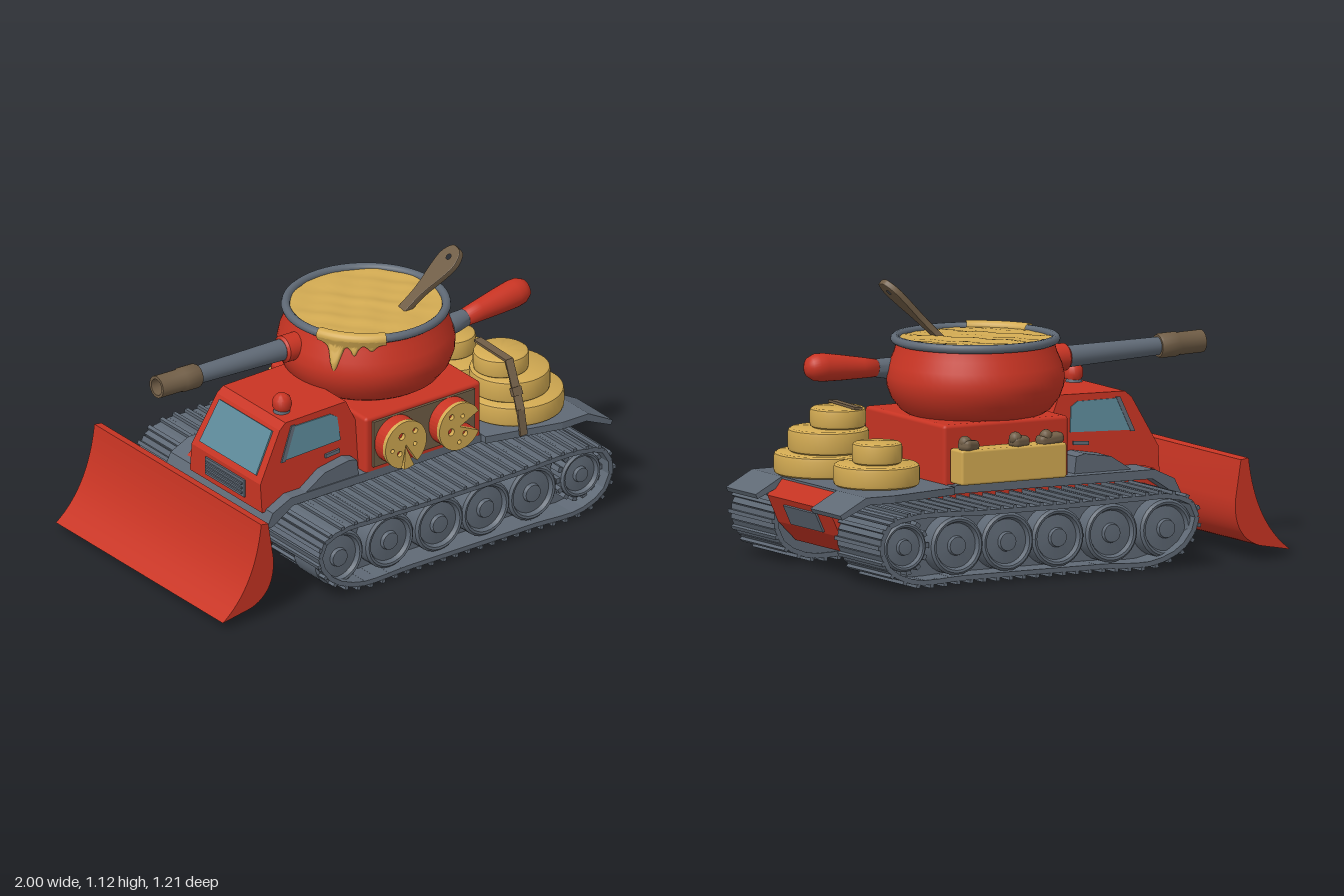
import * as THREE from 'three';
import { toCreasedNormals } from 'three/addons/utils/BufferGeometryUtils.js';
import { RoundedBoxGeometry } from 'three/addons/geometries/RoundedBoxGeometry.js';
import { ParametricGeometry } from 'three/addons/geometries/ParametricGeometry.js';

const mat = (name, color, side = THREE.FrontSide) => {
  const m = new THREE.MeshStandardMaterial({ color, side });
  m.name = name;
  return m;
};

export function createModel() {
  const red = mat('red paint', 0xc83423), gray = mat('gray steel', 0x5f6975);
  const yellow = mat('cheese yellow', 0xd2aa52, THREE.DoubleSide);
  const brown = mat('brown wood', 0x705d46), glass = mat('blue glass', 0x5d8a9a);
  const root = new THREE.Group();
  const V = (x, y, z) => new THREE.Vector3(x, y, z);

  const add = (name, geo, m, pos = [0, 0, 0], rot = [0, 0, 0], parent = root) => {
    const mesh = new THREE.Mesh(geo, m);
    mesh.name = name;
    mesh.position.set(...pos);
    mesh.rotation.set(...rot);
    parent.add(mesh);
    return mesh;
  };
  const box = (w, h, d) => new THREE.BoxGeometry(w, h, d);
  const shapeOf = (pts) => new THREE.Shape(pts.map((p) => new THREE.Vector2(...p)));
  const slab = (shape, z0, z1) =>
    new THREE.ExtrudeGeometry(shape, { depth: z1 - z0, bevelEnabled: false, curveSegments: 16 }).translate(0, 0, z0);
  const lathe = (pts, seg = 40) =>
    toCreasedNormals(new THREE.LatheGeometry(pts.map((p) => new THREE.Vector2(...p)), seg), 0.7);
  // Flat bar or round rod between two points
  const link = (name, a, b, geoFor, m) => {
    const dir = b.clone().sub(a), mesh = add(name, geoFor(dir.length()), m);
    mesh.position.copy(a).add(b).multiplyScalar(0.5);
    mesh.quaternion.setFromUnitVectors(V(0, 1, 0), dir.normalize());
    return mesh;
  };

  // Hull
  add('hull', slab(shapeOf([[-0.6, 0.2], [-0.5, 0.09], [0.8, 0.09], [0.88, 0.17], [0.93, 0.28], [0.88, 0.345],
    [-0.55, 0.345], [-0.6, 0.3]]), -0.25, 0.25), red);
  add('rearPlate', box(0.008, 0.085, 0.26), gray, [0.905, 0.215, 0], [0, 0, -0.43]);

  // Tracks: one loop carries the pads, the wheels sit inside it
  const loop = new THREE.CatmullRomCurve3([
    [-0.36, 0.025], [-0.1, 0.025], [0.2, 0.025], [0.5, 0.025], [0.74, 0.025], [0.85, 0.08], [0.885, 0.17],
    [0.85, 0.25], [0.74, 0.282], [0.4, 0.28], [0, 0.28], [-0.3, 0.285], [-0.43, 0.283], [-0.52, 0.25],
    [-0.545, 0.18], [-0.49, 0.085]].map(([x, y]) => V(x, y, 0)), true, 'centripetal');
  const outline = loop.getSpacedPoints(80).slice(0, 80).map((p) => [p.x, p.y]);
  const wheelGeo = lathe([[0.1, -0.1], [0.118, -0.09], [0.118, 0.05], [0.108, 0.06], [0.098, 0.058], [0.09, 0.04],
    [0.04, 0.045], [0.036, 0.06], [0, 0.062]], 28);
  for (const s of [1, -1]) {
    const track = new THREE.Group();
    track.name = s > 0 ? 'leftTrack' : 'rightTrack';
    root.add(track);
    add('trackCore', slab(shapeOf(outline), s > 0 ? 0.26 : -0.49, s > 0 ? 0.49 : -0.26), gray, [0, 0, 0], [0, 0, 0], track);
    const n = 52;
    for (let i = 0; i < n; i++) {
      const p = loop.getPointAt(i / n), t = loop.getTangentAt(i / n), pad = new THREE.Group();
      pad.name = 'trackPad';
      pad.position.set(p.x, p.y, s * 0.427);
      pad.rotation.z = Math.atan2(t.y, t.x);
      track.add(pad);
      add('padPlate', box(0.062, 0.02, 0.346), gray, [0, 0, 0], [0, 0, 0], pad);
      add('padCleat', box(0.016, 0.014, 0.355), gray, [0, -0.016, 0], [0, 0, 0], pad);
    }
    [-0.43, -0.18, 0.065, 0.295, 0.525].forEach((x) =>
      add('roadWheel', wheelGeo, gray, [x, 0.15, s * 0.51], [s * Math.PI / 2, 0, 0], track));
    // Toothed drive wheel
    add('driveWheel', wheelGeo, gray, [0.765, 0.16, s * 0.51], [s * Math.PI / 2, 0, 0], track).scale.set(0.83, 1, 0.83);
    for (let i = 0; i < 14; i++) {
      const a = i / 14 * Math.PI * 2;
      add('driveTooth', box(0.03, 0.022, 0.05), gray,
        [0.765 + Math.cos(a) * 0.1, 0.16 + Math.sin(a) * 0.1, s * 0.53], [0, 0, a], track);
    }
  }

  // Deck and fenders
  add('deck', slab(shapeOf([[-0.63, 0.25], [-0.6, 0.25], [-0.5, 0.315], [0.6, 0.32], [0.6, 0.352], [-0.51, 0.352],
    [-0.6, 0.31]]), -0.33, 0.35), gray);
  const rear = slab(shapeOf([[0.43, -0.38], [0.75, -0.46], [0.88, -0.46], [0.88, 0.46], [0.75, 0.46], [0.43, 0.38]]), 0, 0.03);
  add('rearDeck', rear.rotateX(Math.PI / 2), gray, [0, 0.354, 0]);
  for (const s of [1, -1]) {
    add('rearFender', slab(shapeOf([[0.87, 0.324], [0.99, 0.272], [1, 0.29], [0.88, 0.354], [0.87, 0.354]]), -0.12, 0.12),
      gray, [0, 0, s * 0.34]);
  }

  // Cab, narrowing upwards
  const taper = (geo) => {
    const p = geo.attributes.position;
    for (let i = 0; i < p.count; i++) p.setZ(i, 0.065 + p.getZ(i) * (1 - (p.getY(i) - 0.3) * 0.4));
    geo.computeVertexNormals();
    return geo;
  };
  add('cab', taper(slab(shapeOf([[-0.62, 0.3], [-0.14, 0.3], [-0.14, 0.56], [-0.18, 0.65], [-0.48, 0.645], [-0.51, 0.62],
    [-0.62, 0.42]]), -0.24, 0.24)), red);
  add('sideWindows', taper(slab(shapeOf([[-0.5, 0.49], [-0.22, 0.5], [-0.23, 0.6], [-0.26, 0.62], [-0.44, 0.62]]),
    -0.245, 0.245)), glass);
  add('windowPillars', taper(slab(shapeOf([[-0.515, 0.485], [-0.495, 0.485], [-0.435, 0.625], [-0.455, 0.625]]),
    -0.247, 0.247)), gray);
  add('windshield', taper(slab(shapeOf([[-0.613, 0.445], [-0.605, 0.44], [-0.515, 0.605], [-0.524, 0.61]]), -0.2, 0.2)), glass);
  add('doorHandles', taper(slab(shapeOf([[-0.3, 0.445], [-0.23, 0.45], [-0.23, 0.465], [-0.3, 0.46]]), -0.25, 0.25)), gray);
  add('grille', box(0.012, 0.075, 0.26), gray, [-0.622, 0.365, 0.065]);
  for (const y of [0.345, 0.365, 0.385]) add('grilleBar', box(0.008, 0.008, 0.24), gray, [-0.63, y, 0.065]);
  add('cabSteps', slab(shapeOf([[-0.45, 0.34], [-0.17, 0.34], [-0.18, 0.42], [-0.22, 0.43], [-0.34, 0.41]]), -0.28, 0.345), gray);
  add('beaconBase', new THREE.CylinderGeometry(0.03, 0.035, 0.02, 20), gray, [-0.43, 0.652, 0.18]);
  add('beacon', lathe([[0.032, 0], [0.04, 0.02], [0.035, 0.05], [0.02, 0.065], [0, 0.07]], 20), red, [-0.425, 0.655, 0.18], [0, 0, 0.12]);

  // Plough blade and its arms
  const blade = new THREE.Shape();
  blade.moveTo(-1, 0.025);
  blade.lineTo(-0.86, 0.05);
  blade.quadraticCurveTo(-0.74, 0.09, -0.75, 0.24);
  blade.lineTo(-0.775, 0.4);
  blade.lineTo(-0.81, 0.405);
  blade.quadraticCurveTo(-0.84, 0.14, -1, 0.025);
  add('blade', toCreasedNormals(slab(blade, -0.555, 0.555), 0.6), red);
  for (const z of [-0.11, 0.14]) {
    link('bladeArm', V(-0.56, 0.19, z), V(-0.68, 0.145, z), (l) => box(0.04, l, 0.03), gray);
    link('bladeArm', V(-0.66, 0.15, z), V(-0.78, 0.145, z), (l) => box(0.035, l, 0.025), gray);
  }

  // Turret base with cheese panel on one side and a crate on the other
  add('turretBase', new RoundedBoxGeometry(0.57, 0.26, 0.64, 2, 0.015), red, [0.145, 0.46, 0.03]);
  add('cheesePanel', box(0.5, 0.2, 0.02), brown, [0.14, 0.472, 0.352]);
  const sector = (r, from, sweep, holes) => {
    const s = new THREE.Shape();
    s.moveTo(0, 0);
    s.absarc(0, 0, r, from, from + sweep, false);
    s.lineTo(0, 0);
    holes.forEach(([d, a, q]) => {
      const h = new THREE.Path();
      h.absarc(Math.cos(a) * d, Math.sin(a) * d, q, 0, Math.PI * 2, true);
      s.holes.push(h);
    });
    return s;
  };
  const cheese = (x, from, sweep) => {
    const holes = [0.15, 0.33, 0.55, 0.78, 0.9].map((f, i) => [0.045 + 0.022 * (i % 2), from + sweep * f, 0.009 + 0.003 * (i % 3)]);
    add('cheeseRind', slab(sector(0.1, from, sweep, []), 0.36, 0.418), red, [x, 0.472, 0]);
    add('cheeseFace', slab(sector(0.102, from, sweep, holes), 0.418, 0.436), yellow, [x, 0.472, 0]);
  };
  cheese(-0.005, -1.0, 5.5);
  cheese(0.262, 0.45, 5.4);
  add('cheeseWedge', slab(sector(0.1, -1.65, 0.5, []), 0.37, 0.43), yellow, [-0.002, 0.46, 0]);
  add('crate', new RoundedBoxGeometry(0.48, 0.14, 0.1, 2, 0.01), yellow, [0.17, 0.43, -0.35]);
  [[-0.01, 0.11], [0.13, 0.08], [0.36, 0.09]].forEach(([x, w], i) => {
    add('crateBundle', new RoundedBoxGeometry(w, 0.045, 0.06, 2, 0.018), brown, [x, 0.515, -0.365], [0, i * 0.25, 0.12 * (i - 1)]);
    add('bundleKnob', new THREE.SphereGeometry(0.026, 14, 10), brown, [x + 0.02, 0.53, -0.37]);
  });

  // Pot with rim, filling and drips
  const profile = [[0.27, 0.585], [0.3, 0.605], [0.335, 0.65], [0.353, 0.7], [0.355, 0.74], [0.345, 0.785], [0.325, 0.83], [0.312, 0.875]];
  const potRadius = (y) => {
    const i = Math.max(1, profile.findIndex((p) => p[1] >= y));
    const [a, b] = [profile[i - 1], profile[i]];
    return THREE.MathUtils.lerp(a[0], b[0], (y - a[1]) / (b[1] - a[1]));
  };
  const pot = new THREE.Group();
  pot.name = 'pot';
  pot.position.set(0.125, 0, -0.005);
  root.add(pot);
  add('potBody', new THREE.LatheGeometry([[0, 0.585], ...profile].map((p) => new THREE.Vector2(...p)), 56), red, [0, 0, 0], [0, 0, 0], pot);
  add('potRim', new THREE.TorusGeometry(0.32, 0.018, 10, 56), gray, [0, 0.884, 0], [Math.PI / 2, 0, 0], pot);
  const filling = new THREE.RingGeometry(0.001, 0.312, 48, 16).rotateX(-Math.PI / 2);
  const fp = filling.attributes.position;
  for (let i = 0; i < fp.count; i++) {
    const x = fp.getX(i), z = fp.getZ(i);
    fp.setY(i, 0.883 + 0.004 * Math.sin(x * 31 + 1) * Math.cos(z * 27) + 0.002 * Math.sin(x * 57 - z * 43));
  }
  filling.computeVertexNormals();
  add('filling', filling, yellow, [0, 0, 0], [0, 0, 0], pot);
  const drip = new ParametricGeometry((u, v, out) => {
    const phi = -1.25 + u * 0.85;
    const bump = (c, w) => Math.exp(-(((u - c) / w) ** 2));
    const end = 0.862 - 0.115 * bump(0.28, 0.1) - 0.05 * bump(0.55, 0.07) - 0.03 * bump(0.8, 0.07);
    let r, y;
    if (v < 0.45) {
      const a = Math.PI * (1 - v / 0.45);
      r = 0.32 + 0.026 * Math.cos(a);
      y = 0.884 + 0.024 * Math.sin(a);
    } else {
      const t = (v - 0.45) / 0.55;
      y = THREE.MathUtils.lerp(0.884, end, t);
      r = Math.max(potRadius(Math.min(y, 0.874)) + 0.016 * (1 - t ** 6), 0.346 - Math.max(0, 0.88 - y) * 0.4);
    }
    out.set(Math.sin(phi) * r, y, Math.cos(phi) * r);
  }, 40, 24);
  add('drip', drip, yellow, [0, 0, 0], [0, 0, 0], pot);

  // Barrel
  const barrel = new THREE.Group();
  barrel.name = 'barrel';
  barrel.position.set(-0.19, 0.782, -0.035);
  barrel.rotation.z = Math.PI / 2 - 0.03;
  root.add(barrel);
  add('barrelCollar', lathe([[0, -0.03], [0.055, -0.03], [0.055, 0.075], [0.045, 0.085], [0, 0.085]], 28), red, [0, 0, 0], [0, 0, 0], barrel);
  add('barrelTube', new THREE.CylinderGeometry(0.036, 0.044, 0.46, 28), gray, [0, 0.29, 0], [0, 0, 0], barrel);
  add('muzzle', lathe([[0, 0.5], [0.045, 0.5], [0.05, 0.51], [0.05, 0.58], [0.046, 0.59], [0.046, 0.7], [0.034, 0.7],
    [0.034, 0.62]], 20), brown, [0, 0, 0], [0, 0, 0], barrel);
  add('bore', new THREE.CircleGeometry(0.036, 20), gray, [0, 0.625, 0], [-Math.PI / 2, 0, 0], barrel);

  // Pot handle
  const handle = new THREE.Group();
  handle.name = 'handle';
  handle.position.set(0.41, 0.763, 0.155);
  handle.rotation.set(0, 0.07, -Math.PI / 2 + 0.09);
  root.add(handle);
  add('handleCollar', lathe([[0, 0], [0.042, 0], [0.042, 0.03], [0.036, 0.09], [0, 0.09]], 24), gray, [0, 0, 0], [0, 0, 0], handle);
  add('handleGrip', new THREE.LatheGeometry([[0, 0.085], [0.036, 0.085], [0.043, 0.16], [0.052, 0.26], [0.057, 0.34], [0.054, 0.375],
    [0.04, 0.402], [0.02, 0.414], [0, 0.416]].map((p) => new THREE.Vector2(...p)), 28), red, [0, 0, 0], [0, 0, 0], handle);

  // Spoon standing in the filling
  const spoonShape = new THREE.Shape();
  spoonShape.moveTo(-0.022, 0);
  spoonShape.splineThru([[-0.024, 0.13], [-0.048, 0.25], [-0.052, 0.31], [-0.03, 0.355], [0, 0.362], [0.03, 0.355],
    [0.052, 0.31], [0.048, 0.25], [0.024, 0.13], [0.022, 0]].map((p) => new THREE.Vector2(...p)));
  const eye = new THREE.Path();
  eye.absarc(0, 0.315, 0.012, 0, Math.PI * 2, true);
  spoonShape.holes.push(eye);
  const spoon = add('spoon', new THREE.ExtrudeGeometry(spoonShape, { depth: 0.016, bevelSize: 0.004, bevelThickness: 0.005,
    bevelSegments: 2, curveSegments: 24 }), brown);
  const up = V(0.24, 0.25, 0.075).normalize(), across = V(0, 0, 1).addScaledVector(up, -up.z).normalize();
  spoon.quaternion.setFromRotationMatrix(new THREE.Matrix4().makeBasis(across, up, across.clone().cross(up)));
  spoon.position.set(0.2, 0.845, 0.11);

  // Stacked cheese wheels on the rear deck
  const wheel = (x, y, z, r, h) => add('cheeseWheel', lathe([[0, 0], [r - 0.012, 0], [r - 0.003, 0.006], [r, 0.018], [r, h - 0.018],
    [r - 0.003, h - 0.006], [r - 0.012, h], [0, h]], 40), yellow, [x, y, z]);
  [[0.685, 0.355, 0.22, 0.203, 0.088], [0.67, 0.443, 0.217, 0.162, 0.094], [0.63, 0.537, 0.212, 0.112, 0.08],
    [0.67, 0.355, -0.17, 0.172, 0.088], [0.67, 0.443, -0.175, 0.1, 0.085]].forEach((w) => wheel(...w));

  // Strap over the taller stack
  const strap = [V(0.6, 0.622, 0.1), V(0.59, 0.624, 0.32), V(0.585, 0.52, 0.372), V(0.58, 0.44, 0.41), V(0.58, 0.34, 0.43)];
  for (let i = 1; i < strap.length; i++) link('strap', strap[i - 1], strap[i], (l) => box(0.034, l + 0.006, 0.01), brown);
  add('strapBuckle', box(0.045, 0.035, 0.02), brown, [0.583, 0.51, 0.378], [-0.45, 0, 0]);

  return root;
}
